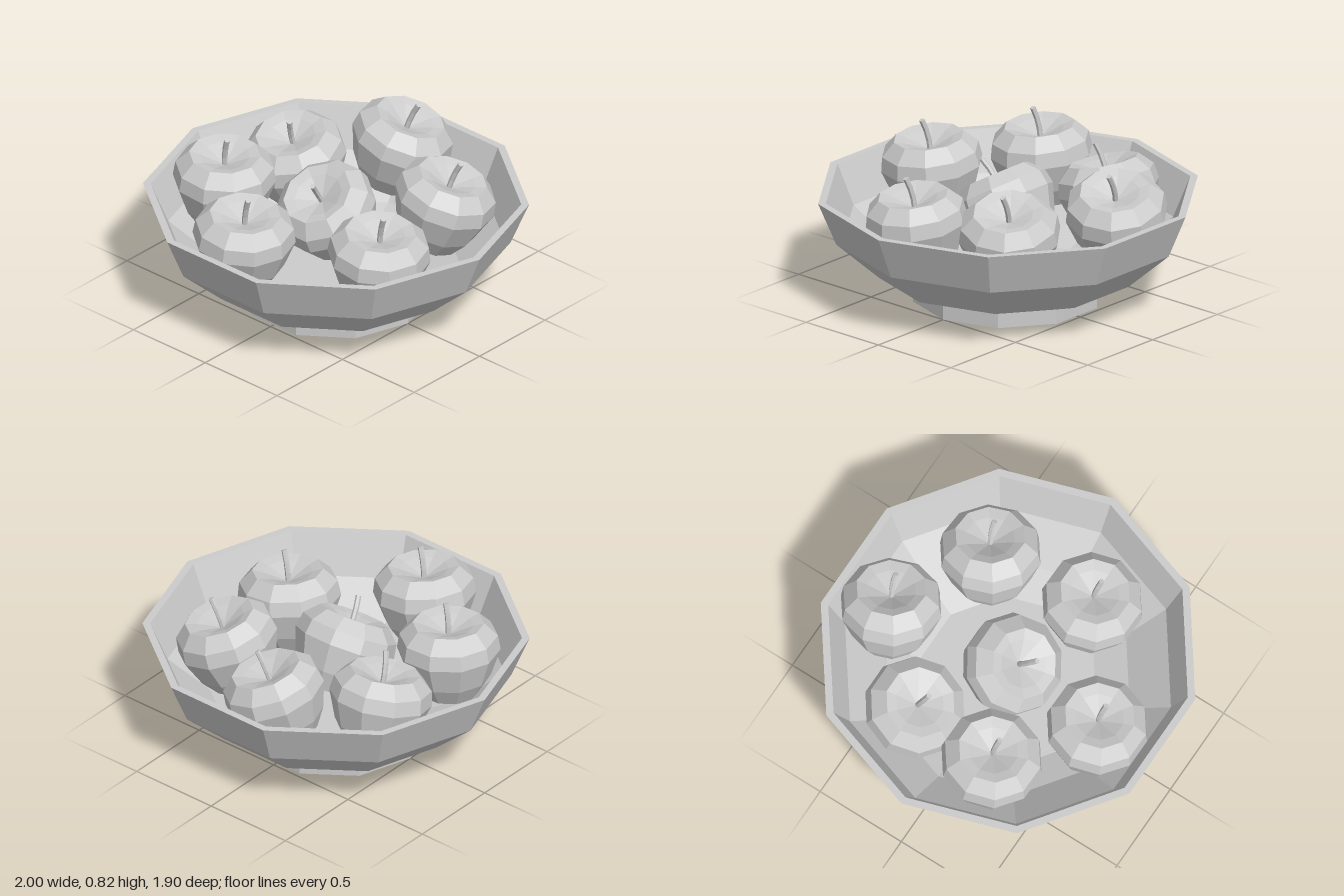
import * as THREE from 'three';

const material = new THREE.MeshStandardMaterial({ color: 0xcccccc, flatShading: true });

// Ten-sided turned shape from [radius, height] pairs
function turned(name, profile) {
  const points = profile.map(([r, y]) => new THREE.Vector2(r, y));
  const geometry = new THREE.LatheGeometry(points, 10);
  geometry.rotateY(Math.PI / 2);
  const mesh = new THREE.Mesh(geometry, material);
  mesh.name = name;
  return mesh;
}

const RIM = 0.17; // height of the apple's top rim above its middle

function makeApple() {
  const apple = new THREE.Group();
  apple.add(turned('appleBody', [
    [0, -0.19], [0.07, -0.23], [0.15, -0.23], [0.215, -0.13],
    [0.268, 0.02], [0.255, 0.1], [0.185, RIM], [0.13, 0.155], [0, 0.1],
  ]));

  // Bent stem, slightly thicker at the tip
  const curve = new THREE.CatmullRomCurve3([
    new THREE.Vector3(0, 0.09, 0),
    new THREE.Vector3(0.003, 0.18, 0.002),
    new THREE.Vector3(0.025, 0.27, 0.012),
  ]);
  const stem = new THREE.Mesh(new THREE.TubeGeometry(curve, 3, 0.015, 6), material);
  stem.name = 'appleStem';
  apple.add(stem);

  // Cut end of the stem
  const cap = new THREE.Mesh(new THREE.CircleGeometry(0.015, 6), material);
  cap.name = 'stemEnd';
  cap.position.copy(curve.getPoint(1));
  cap.quaternion.setFromUnitVectors(new THREE.Vector3(0, 0, 1), curve.getTangent(1));
  apple.add(cap);
  return apple;
}

export function createModel() {
  const model = new THREE.Group();
  model.name = 'appleBowl';

  // Foot ring with closed underside
  model.add(turned('foot', [[0, 0], [0.5, 0], [0.5, 0.08], [0, 0.08]]));

  // Bowl: outer wall, flat lip, inner wall, floor
  model.add(turned('bowl', [
    [0, 0.075], [0.49, 0.075], [0.68, 0.145], [0.905, 0.345], [1, 0.575],
    [0.96, 0.575], [0.87, 0.36], [0.65, 0.18], [0.47, 0.115], [0, 0.115],
  ]));

  // Apples: x, z, height of rim centre, horizontal lean of the axis (x, z)
  const apples = [
    [-0.13, -0.635, 0.715, 0.27, -0.17],
    [0.405, -0.375, 0.68, 0.25, -0.17],
    [0.48, 0.2, 0.635, 0.12, 0.05],
    [-0.09, 0.605, 0.695, 0.1, 0.05],
    [-0.545, 0.255, 0.72, 0.06, 0.05],
    [-0.505, -0.25, 0.65, 0, 0.25],
    [-0.025, 0.03, 0.62, 0, 0.52],
  ];
  const up = new THREE.Vector3(0, 1, 0);
  apples.forEach(([x, z, rimY, leanX, leanZ], i) => {
    const axis = new THREE.Vector3(leanX, Math.sqrt(1 - leanX ** 2 - leanZ ** 2), leanZ);
    const apple = makeApple();
    apple.name = `apple${i + 1}`;
    apple.position.set(x, rimY - RIM * axis.y, z);
    apple.quaternion.setFromUnitVectors(up, axis);
    model.add(apple);
  });
  return model;
}
